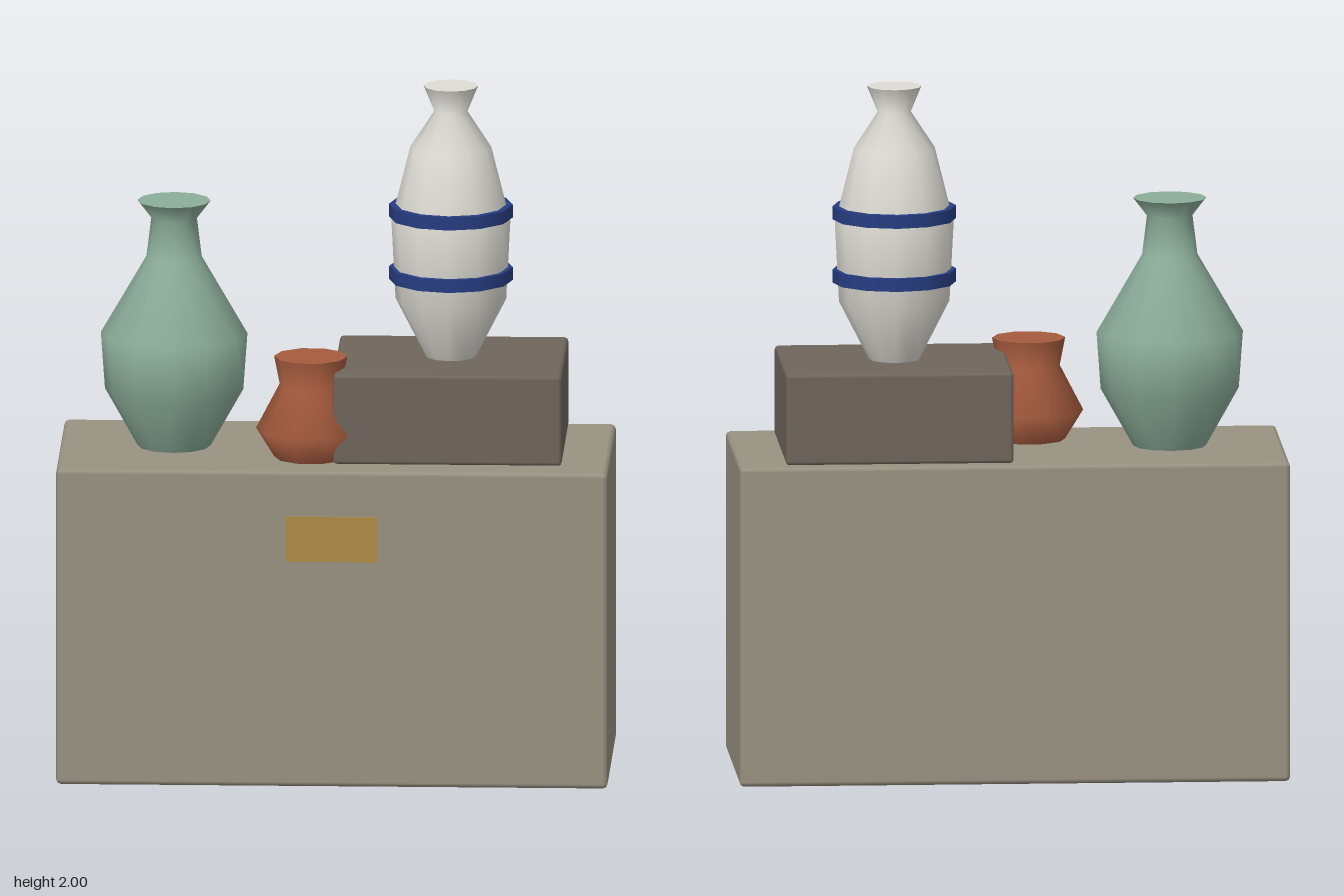
import * as THREE from 'three';
import { RoundedBoxGeometry } from 'three/addons/geometries/RoundedBoxGeometry.js';

function material(name, color) {
  const m = new THREE.MeshStandardMaterial({ color });
  m.name = name;
  return m;
}

export function createModel() {
  const stone = material('stone', 0x999282);
  const darkStone = material('dark stone', 0x6f665c);
  const brass = material('brass', 0xad8c45);
  const celadon = material('celadon glaze', 0x8cad9a);
  const terracotta = material('terracotta', 0xa65b3e);
  const porcelain = material('porcelain', 0xdedcd4);
  const cobalt = material('cobalt blue', 0x263d82);

  const model = new THREE.Group();
  model.name = 'vaseDisplay';

  function add(parent, name, geometry, mat, x = 0, y = 0, z = 0) {
    const mesh = new THREE.Mesh(geometry, mat);
    mesh.name = name;
    mesh.position.set(x, y, z);
    parent.add(mesh);
    return mesh;
  }

  // Turned vessel from [radius, height] pairs, closed at foot and mouth
  function vessel(name, profile, sides, mat, x, y, z) {
    const group = new THREE.Group();
    group.name = name;
    group.position.set(x, y, z);
    const points = profile.map(([r, h]) => new THREE.Vector2(r, h));
    add(group, name + 'Body', new THREE.LatheGeometry(points, sides, Math.PI / 2), mat);
    const foot = points[0];
    const mouth = points[points.length - 1];
    add(group, name + 'Mouth', new THREE.CircleGeometry(mouth.x, sides).rotateX(-Math.PI / 2), mat, 0, mouth.y);
    add(group, name + 'Foot', new THREE.CircleGeometry(foot.x, sides).rotateX(Math.PI / 2), mat, 0, foot.y);
    model.add(group);
    return group;
  }

  // Plinth, name plate and riser block
  add(model, 'plinth', new RoundedBoxGeometry(1.594, 0.935, 0.662, 1, 0.014), stone, 0, 0.4675, -0.003);
  add(model, 'plate', new THREE.BoxGeometry(0.266, 0.133, 0.008), brass, 0, 0.735, 0.33);
  add(model, 'riser', new RoundedBoxGeometry(0.66, 0.266, 0.527, 1, 0.011), darkStone, 0.331, 1.067, -0.03);

  // Large green vase
  vessel('greenVase', [
    [0.106, 0], [0.2, 0.167], [0.212, 0.333], [0.08, 0.56], [0.066, 0.673], [0.106, 0.725],
  ], 12, celadon, -0.468, 0.935, -0.004);

  // Small clay pot
  vessel('clayPot', [
    [0.106, 0], [0.158, 0.084], [0.09, 0.215], [0.106, 0.297],
  ], 10, terracotta, -0.068, 0.935, 0.13);

  // Tall white vase with two painted bands
  const tall = vessel('whiteVase', [
    [0.073, 0], [0.16, 0.17], [0.172, 0.4], [0.117, 0.62], [0.048, 0.725], [0.079, 0.8],
  ], 12, porcelain, 0.331, 1.2, -0.031);
  for (const [name, y] of [['lowerBand', 0.245], ['upperBand', 0.43]]) {
    add(tall, name, new THREE.CylinderGeometry(0.179, 0.179, 0.038, 12), cobalt, 0, y);
  }

  return model;
}
